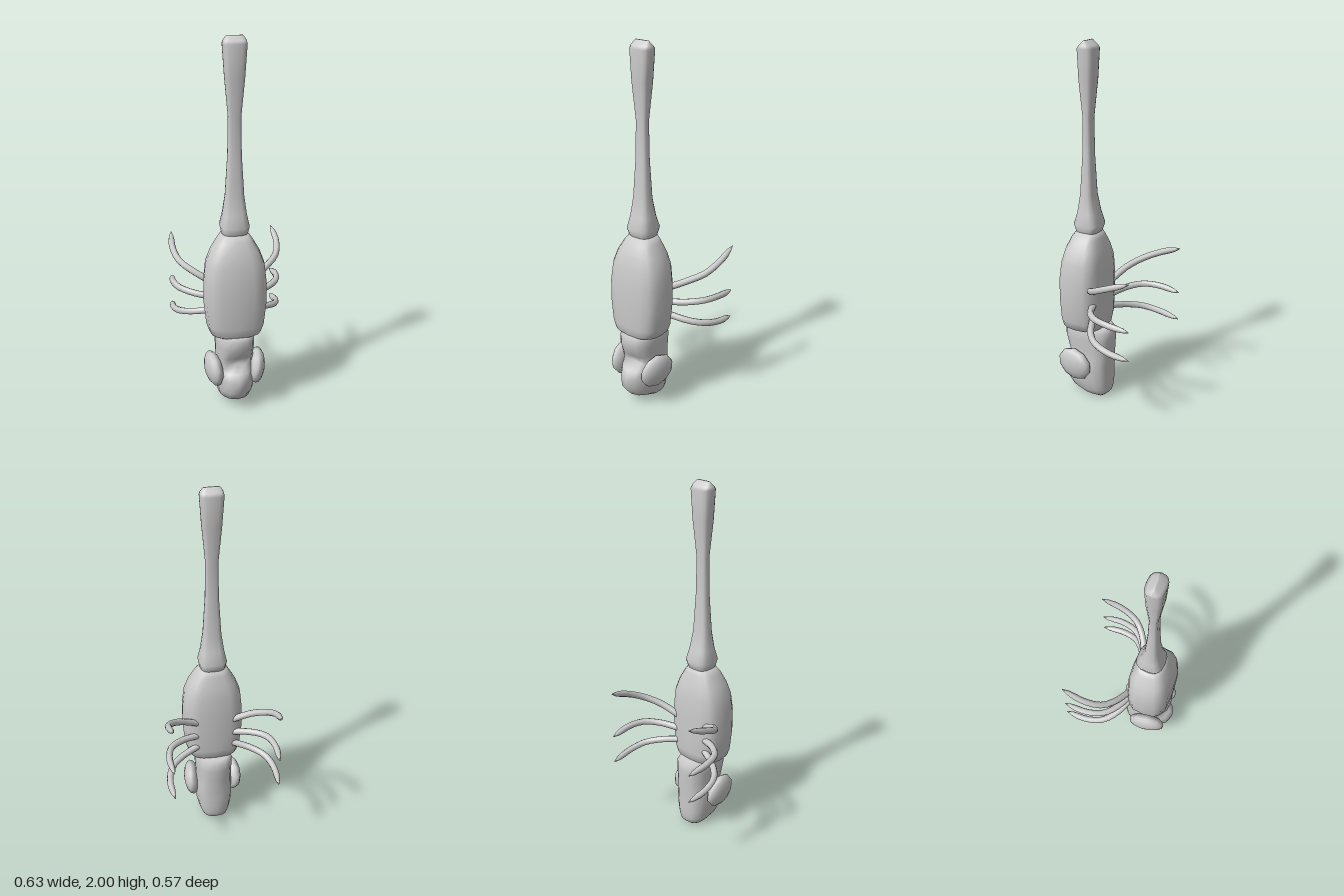
import * as THREE from 'three';

const material = new THREE.MeshStandardMaterial({ color: 0xcccccc });

// Loft of rounded-rectangle rings, from low to high.
// Section: [y, halfWidth, zBack, zFront, noseOffset]
function loft(name, sections, power, sides = 16) {
  const pos = [], idx = [];
  const bend = (v) => Math.sign(v) * Math.pow(Math.abs(v), 2 / power);
  for (const [y, hw, zb, zf, nose = 0] of sections) {
    for (let j = 0; j < sides; j++) {
      const a = (j / sides) * Math.PI * 2;
      const s = Math.sin(a);
      const z = (zb + zf) / 2 + bend(s) * (zf - zb) / 2 + nose * Math.pow(Math.max(0, s), 6);
      pos.push(hw * bend(Math.cos(a)), y, z);
    }
  }
  const n = sections.length;
  for (let i = 0; i < n - 1; i++) {
    for (let j = 0; j < sides; j++) {
      const a = i * sides + j, b = i * sides + (j + 1) % sides;
      idx.push(a, a + sides, b, b, a + sides, b + sides);
    }
  }
  // end caps
  for (const [row, top] of [[0, false], [n - 1, true]]) {
    const [y, , zb, zf] = sections[row];
    const c = pos.length / 3;
    pos.push(0, y, (zb + zf) / 2);
    for (let j = 0; j < sides; j++) {
      const a = row * sides + j, b = row * sides + (j + 1) % sides;
      if (top) idx.push(a, c, b);
      else idx.push(a, b, c);
    }
  }
  const g = new THREE.BufferGeometry();
  g.setAttribute('position', new THREE.Float32BufferAttribute(pos, 3));
  g.setIndex(idx);
  g.computeVertexNormals();
  const mesh = new THREE.Mesh(g, material);
  mesh.name = name;
  return mesh;
}

// Curved leg that tapers to a point; ys are heights along the shared path
function leg(name, side, ys) {
  const xz = [[0.09, 0.05], [0.2, 0.0], [0.268, -0.065], [0.294, -0.16], [0.287, -0.284]];
  const curve = new THREE.CatmullRomCurve3(
    xz.map(([x, z], i) => new THREE.Vector3(side * x, ys[i], z)));
  const steps = 12, radial = 8;
  const g = new THREE.TubeGeometry(curve, steps, 0.019, radial);
  const p = g.attributes.position, v = new THREE.Vector3();
  for (let i = 0; i <= steps; i++) {
    const t = i / steps, c = curve.getPointAt(t);
    const k = i === steps ? 0.08 : i === steps - 1 ? 0.68 : 1 - 0.1 * t;
    for (let j = 0; j <= radial; j++) {
      const q = i * (radial + 1) + j;
      v.fromBufferAttribute(p, q).sub(c).multiplyScalar(k).add(c);
      p.setXYZ(q, v.x, v.y, v.z);
    }
  }
  const mesh = new THREE.Mesh(g, material);
  mesh.name = name;
  return mesh;
}

// Flattened bulging eye, wider at the back
function eye(name, side) {
  const g = new THREE.SphereGeometry(1, 10, 8);
  g.rotateZ(Math.PI / 2);
  g.scale(0.045, 0.096, 0.11);
  const mesh = new THREE.Mesh(g, material);
  mesh.name = name;
  mesh.position.set(side * 0.119, 0.212, 0.157);
  mesh.rotation.set(0, side * -0.14, side * -0.1);
  return mesh;
}

export function createModel() {
  const group = new THREE.Group();
  group.name = 'insect';

  // Long tail with a flared root and a ridged club end
  group.add(loft('tail', [
    [0.95, 0.06, 0.075, 0.18], [0.99, 0.07, 0.06, 0.19], [1.025, 0.078, 0.048, 0.202],
    [1.09, 0.064, 0.07, 0.182], [1.19, 0.05, 0.09, 0.166], [1.4, 0.037, 0.1, 0.154],
    [1.6, 0.034, 0.103, 0.15], [1.8, 0.052, 0.083, 0.168], [1.96, 0.063, 0.076, 0.172],
    [1.975, 0.06, 0.09, 0.16], [2.0, 0.043, 0.12, 0.13],
  ], 3));

  // Barrel-shaped body
  group.add(loft('body', [
    [0.42, 0.11, 0.045, 0.24], [0.432, 0.138, 0.025, 0.254], [0.48, 0.155, 0.018, 0.262],
    [0.6, 0.168, 0.016, 0.266], [0.72, 0.168, 0.016, 0.266], [0.82, 0.157, 0.02, 0.255],
    [0.89, 0.13, 0.033, 0.238], [0.95, 0.095, 0.052, 0.212], [0.985, 0.07, 0.065, 0.188],
  ], 2.9));

  // Head with a beaked face below a notched brow
  group.add(loft('head', [
    [0.003, 0.045, 0.02, 0.075], [0.02, 0.072, 0.0, 0.15], [0.05, 0.088, -0.008, 0.215, 0.02],
    [0.1, 0.1, -0.012, 0.25, 0.03], [0.17, 0.105, -0.012, 0.25, 0.035],
    [0.215, 0.104, -0.014, 0.245, 0.02], [0.25, 0.1, -0.016, 0.235, -0.035],
    [0.3, 0.1, -0.018, 0.25, -0.01], [0.36, 0.104, -0.022, 0.264],
    [0.405, 0.104, -0.02, 0.264], [0.43, 0.094, 0.0, 0.25],
  ], 2.6));

  // Eyes and three pairs of legs
  const legs = {
    rear: [0.665, 0.725, 0.765, 0.81, 0.858],
    middle: [0.585, 0.598, 0.606, 0.604, 0.59],
    front: [0.515, 0.488, 0.468, 0.447, 0.427],
  };
  for (const [label, side] of [['Left', 1], ['Right', -1]]) {
    group.add(eye('eye' + label, side));
    for (const key in legs) group.add(leg(key + 'Leg' + label, side, legs[key]));
  }
  return group;
}
